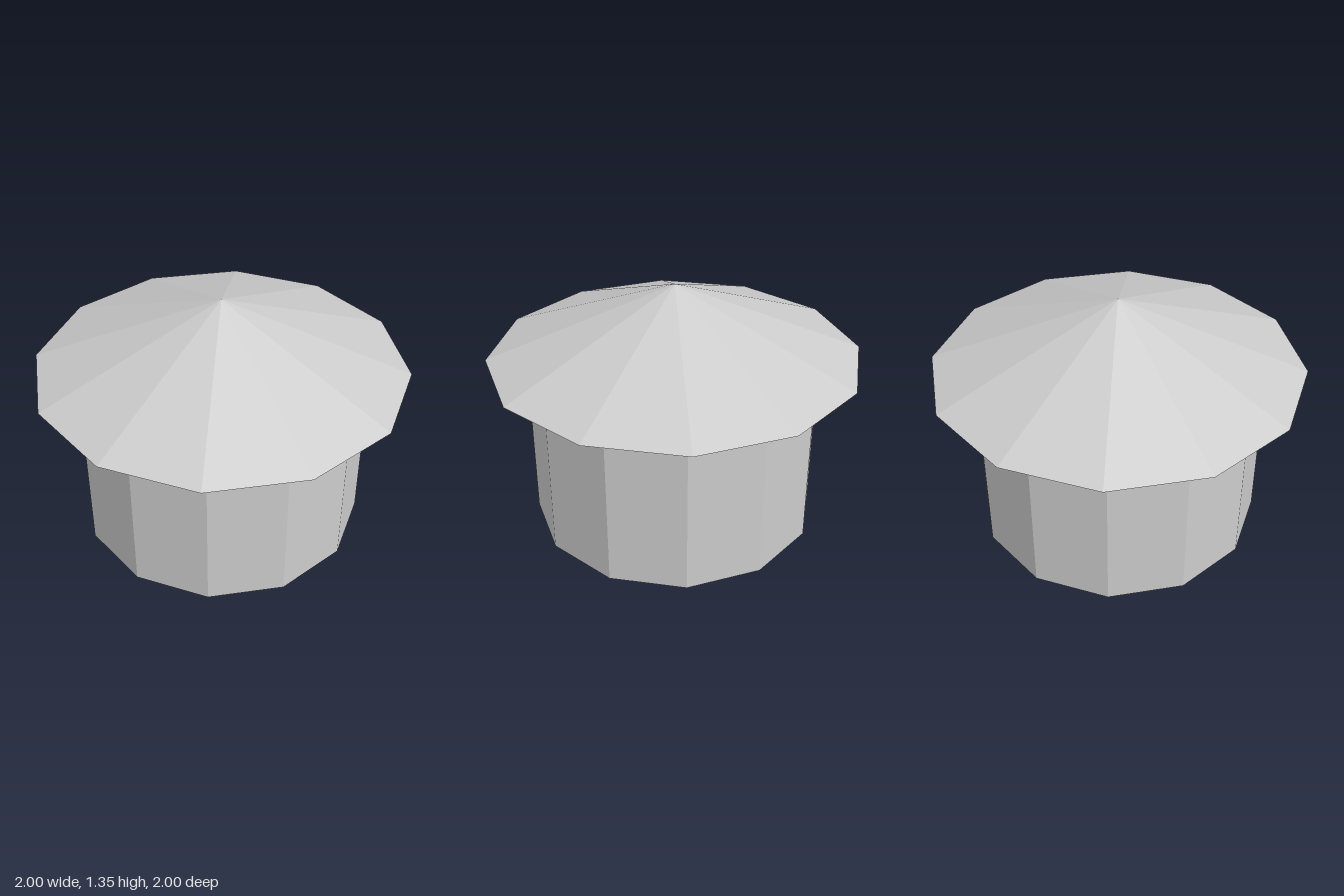
import * as THREE from 'three';

const SIDES = 12;
const WALL_HEIGHT = 0.945;
const ROOF_HEIGHT = 0.4;

export function createModel() {
  const model = new THREE.Group();
  model.name = 'roundHut';
  const material = new THREE.MeshStandardMaterial({ color: 0xcccccc, flatShading: true });

  const addPart = (name, geometry, y) => {
    const mesh = new THREE.Mesh(geometry, material);
    mesh.name = name;
    mesh.position.y = y;
    model.add(mesh);
  };

  // Twelve-sided wall drum with a closed floor
  addPart('wall', new THREE.CylinderGeometry(0.785, 0.785, WALL_HEIGHT, SIDES), WALL_HEIGHT / 2);

  // Overhanging pointed roof with a flat underside
  addPart('roof', new THREE.ConeGeometry(1, ROOF_HEIGHT, SIDES), WALL_HEIGHT + ROOF_HEIGHT / 2);

  return model;
}
